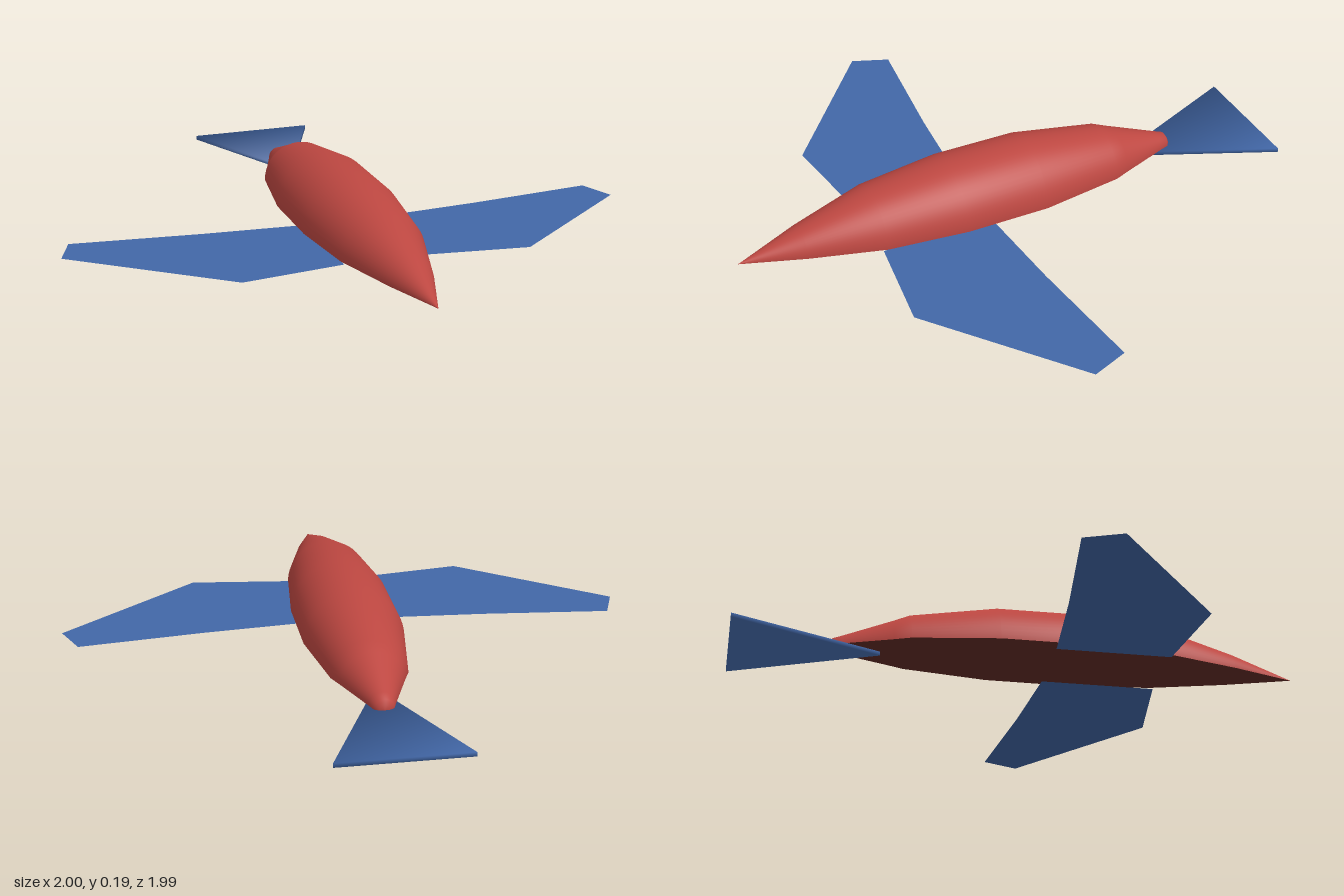
import * as THREE from 'three';

const red = new THREE.MeshStandardMaterial({ color: 0xbd4741 });
red.name = 'hullRed';
const brown = new THREE.MeshStandardMaterial({ color: 0x642d26 });
brown.name = 'undersideBrown';
const blue = new THREE.MeshStandardMaterial({ color: 0x4267a7, side: THREE.DoubleSide });
blue.name = 'wingBlue';

function addMesh(group, name, geometry, material, y = 0) {
  const mesh = new THREE.Mesh(geometry, material);
  mesh.name = name;
  mesh.position.y = y;
  group.add(mesh);
}

// Flat outline in (x, z), lying in the ground plane and facing down
function flatOutline(points) {
  const shape = new THREE.Shape(points.map(([x, z]) => new THREE.Vector2(x, z)));
  return new THREE.ShapeGeometry(shape).rotateX(Math.PI / 2);
}

// Thin triangular fin with normals rounded outward at its corners
function tailGeometry(thickness) {
  const corners = [[0, -0.475], [0.225, -0.993], [-0.225, -0.993]];
  const centreZ = -0.82;
  const positions = [], normals = [];
  for (const level of [1, 0]) {
    for (const [x, z] of corners) {
      const out = new THREE.Vector3(x, 0, z - centreZ).normalize();
      out.y = level ? 0.6 : -0.6;
      positions.push(x, level * thickness, z);
      normals.push(...out.normalize().toArray());
    }
  }
  const index = [0, 1, 2, 3, 5, 4];
  for (let i = 0; i < 3; i++) {
    const j = (i + 1) % 3;
    index.push(i, i + 3, j, j, i + 3, j + 3);
  }
  const geometry = new THREE.BufferGeometry();
  geometry.setAttribute('position', new THREE.Float32BufferAttribute(positions, 3));
  geometry.setAttribute('normal', new THREE.Float32BufferAttribute(normals, 3));
  geometry.setIndex(index);
  return geometry;
}

export function createModel() {
  const model = new THREE.Group();
  model.name = 'glider';

  // Body: half of a turned spindle, radius against length from tail to nose
  const profile = [
    [0, -0.654], [0.018, -0.652], [0.034, -0.642], [0.045, -0.61], [0.11, -0.435],
    [0.132, -0.38], [0.178, -0.08], [0.179, 0.22], [0.148, 0.51], [0.076, 0.77], [0, 0.993],
  ];
  const bodyY = 0.015;
  const hull = new THREE.LatheGeometry(
    profile.map(([r, z]) => new THREE.Vector2(r, z)), 32, Math.PI / 2, Math.PI);
  hull.rotateX(Math.PI / 2);
  addMesh(model, 'body', hull, red, bodyY);

  // Flat dark underside of the body
  const mirrored = profile.slice(1, -1).reverse().map(([r, z]) => [-r, z]);
  addMesh(model, 'bodyUnderside', flatOutline([...profile, ...mirrored]), brown, bodyY);

  // Swept wings, mirrored
  const wing = [[0.14, 0.523], [0.5, 0.57], [1, 0.17], [0.95, 0.04], [0.5, 0.09], [0.14, 0.118]];
  for (const [name, side] of [['leftWing', 1], ['rightWing', -1]]) {
    addMesh(model, name, flatOutline(wing.map(([x, z]) => [x * side, z])), blue, 0.008);
  }

  // Tail fin
  addMesh(model, 'tail', tailGeometry(0.015), blue);

  return model;
}
